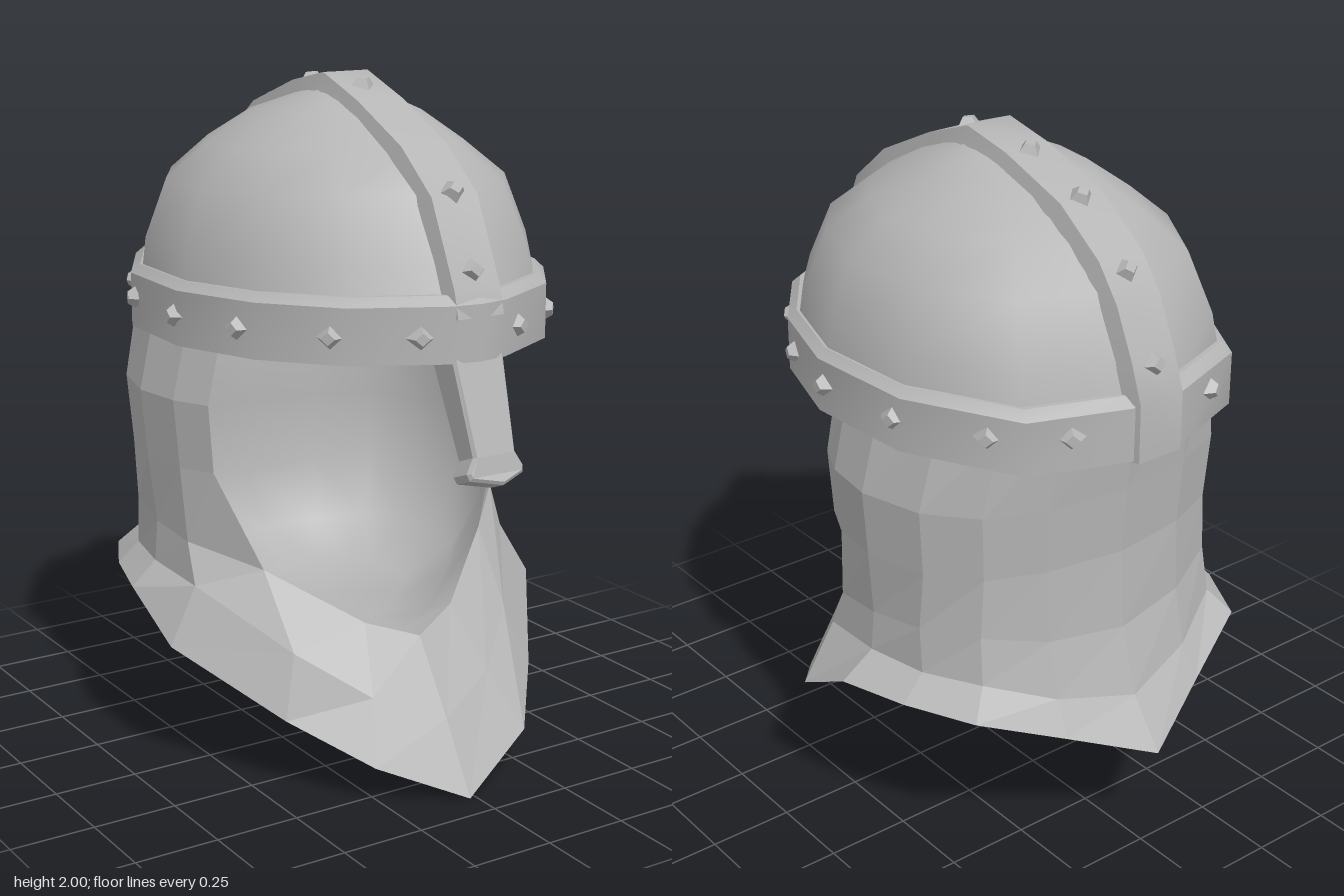
import * as THREE from 'three';
import { mergeGeometries, mergeVertices } from 'three/addons/utils/BufferGeometryUtils.js';

const steel = new THREE.MeshStandardMaterial({ color: 0xb5b5b5, side: THREE.DoubleSide });
steel.name = 'steel grey';

// Half cross-sections run from front to back on the +x side; these mirror them.
const flip = ([x, y, z]) => [-x, y, z];
const closedRing = (half) => [...half, ...half.slice(1, -1).reverse().map(flip)];
const openRing = (half) => [...half, ...half.slice(0, -1).reverse().map(flip)];

// Skins a list of equally long point rows, faceted or smooth.
function loft(rows, closed, smooth) {
  const n = rows[0].length, index = [];
  for (let r = 0; r < rows.length - 1; r++) {
    for (let c = 0; c < (closed ? n : n - 1); c++) {
      const a = r * n + c, b = r * n + (c + 1) % n;
      index.push(a, b, b + n, a, b + n, a + n);
    }
  }
  let g = new THREE.BufferGeometry();
  g.setAttribute('position', new THREE.Float32BufferAttribute(rows.flat(2), 3));
  g.setIndex(index);
  g = smooth ? mergeVertices(g) : g.toNonIndexed();
  g.computeVertexNormals();
  return g;
}

// Smooth along each strip, sharp between neighbouring strips.
const strips = (rows, closed) =>
  mergeGeometries(rows.slice(1).map((row, i) => loft([rows[i], row], closed, true)));

function add(parent, name, geometry) {
  const m = new THREE.Mesh(geometry, steel);
  m.name = name;
  parent.add(m);
  return m;
}

// Plan of the helmet at the brow, [x, z]
const brow = [[0, 0.68], [0.09, 0.665], [0.33, 0.53], [0.49, 0.31], [0.575, 0.03],
  [0.545, -0.31], [0.37, -0.625], [0.09, -0.725], [0, -0.73]];
const browRing = (sx, sz, y, shift) =>
  closedRing(brow.map(([x, z]) => [x * sx, y + 0.018 * z * sz, z * sz + shift]));

// Centre line of the crest from front to back, [z, y]
const crestPath = [[0.675, 1.4], [0.658, 1.47], [0.545, 1.71], [0.4, 1.83], [0.18, 1.935], [0, 2],
  [-0.17, 1.965], [-0.4, 1.885], [-0.56, 1.77], [-0.635, 1.67], [-0.7, 1.53], [-0.74, 1.42], [-0.742, 1.25]];

// Collar edge, collar bend and lower lip of the face opening
const rim = [[0, 0, 0.66], [0.26, 0.115, 0.56], [0.43, 0.22, 0.35], [0.64, 0.39, 0.05], [0.65, 0.51, -0.17],
  [0.59, 0.515, -0.38], [0.49, 0.51, -0.58], [0.25, 0.415, -0.68], [0, 0.315, -0.787]];
const bend = [[0, 0.2, 0.54], [0.2, 0.28, 0.46], [0.37, 0.4, 0.31], [0.545, 0.56, 0.05], [0.56, 0.58, -0.17],
  [0.52, 0.58, -0.36], [0.43, 0.58, -0.52], [0.24, 0.51, -0.62], [0, 0.46, -0.68]];
const lip = [[0, 0.41, 0.4], [0.15, 0.46, 0.34], [0.38, 0.61, 0.16], [0.54, 0.68, 0], [0.55, 0.7, -0.17],
  [0.52, 0.72, -0.35], [0.42, 0.72, -0.5], [0.24, 0.68, -0.58], [0, 0.66, -0.62]];

// Neck guard plan beside and behind the opening, [x, z], and its levels [y, x scale, z scale]
const neckPlan = [[0.5, 0.09], [0.55, -0.02], [0.57, -0.18], [0.52, -0.37], [0.41, -0.5], [0.24, -0.57], [0, -0.605]];
const neckLevels = [[0.9, 1, 1], [1.1, 1.03, 1.02], [1.34, 0.93, 1.06]];

function buildNeckGuard() {
  const g = new THREE.Group();
  g.name = 'neckGuard';
  const edge = closedRing(rim).map(([x, y, z]) => [x + 0.02 * Math.abs(x), y, z]);
  const sides = [lip.slice(2), ...neckLevels.map(([y, sx, sz]) => neckPlan.map(([x, z]) => [x * sx, y, z * sz]))];

  add(g, 'collar', loft([edge, closedRing(bend), closedRing(lip)], true, false));
  add(g, 'neckWall', loft(sides.map(openRing), false, false));
  add(g, 'underside', loft([edge.map(() => [0, 0.23, -0.12]), edge], true, false));

  // Smooth lining: a wall behind the face opening that rounds into a bowl, [scale, height share]
  const inset = (keep) => ([x, y, z], i) => (i < keep ? [x, y, z] : [x * 0.96, y, z * 0.96]);
  const wall = loft(sides.map((row) => openRing(row.map(inset(1)))), false, true);
  const bowl = [[0, 0], [0.5, 0.1], [0.8, 0.4], [1, 1]].map(([s, h]) => closedRing(lip.map(inset(3))
    .map(([x, y, z]) => [x * s, 0.38 + (y - 0.38) * h, -0.12 + (z + 0.12) * s])));
  const parts = [wall, loft(bowl, true, true)];
  parts.forEach((p) => p.deleteAttribute('normal'));
  const lining = mergeVertices(mergeGeometries(parts));
  lining.computeVertexNormals();
  add(g, 'lining', lining);
  return g;
}

// Raised strip with chamfered sides
function buildCrest() {
  const section = [[0.09, -0.05], [0.075, 0], [-0.075, 0], [-0.09, -0.05]];
  const rows = section.map(([x, d]) => crestPath.map(([z, y], i) => {
    const a = crestPath[Math.max(i - 1, 0)], b = crestPath[Math.min(i + 1, crestPath.length - 1)];
    const t = new THREE.Vector2(b[0] - a[0], b[1] - a[1]).normalize();
    return [x, y - t.x * d, z + t.y * d];
  }));
  return strips(rows, false);
}

function buildNasal() {
  const half = [[0.082, 0], [0.066, -0.295], [0.09, -0.335], [0.085, -0.352]];
  const outline = [...half, [0, -0.377], ...half.slice().reverse().map(([x, y]) => [-x, y])];
  const shape = new THREE.Shape(outline.map(([x, y]) => new THREE.Vector2(x, y)));
  const geometry = new THREE.ExtrudeGeometry(shape, {
    depth: 0.06, bevelThickness: 0.008, bevelSize: 0.008, bevelOffset: -0.005, bevelSegments: 1,
  });
  // Thicker towards the brow, swept back at the sides of the tip
  const p = geometry.attributes.position;
  for (let i = 0; i < p.count; i++) {
    const down = THREE.MathUtils.clamp(-p.getY(i) / 0.377, 0, 1);
    const back = p.getZ(i) < 0.03 ? 0.03 * (1 - down) : 0;
    p.setZ(i, p.getZ(i) - back - 0.3 * Math.abs(p.getX(i)) * down);
  }
  geometry.computeVertexNormals();
  geometry.rotateX(-0.365);
  geometry.translate(0, 1.295, 0.595);
  return geometry;
}

function buildRivets() {
  const g = new THREE.Group();
  g.name = 'rivets';
  const stud = new THREE.CylinderGeometry(0.018, 0.036, 0.028, 4).toNonIndexed();
  stud.computeVertexNormals();
  stud.rotateX(Math.PI / 2);
  stud.scale(1.15, 1, 1);
  const place = (name, pos, normal) => {
    const m = add(g, name, stud);
    m.position.set(...pos).addScaledVector(normal.normalize(), 0.008);
    m.lookAt(m.position.clone().add(normal));
  };
  // Around the brow band, both sides
  for (const [x, z] of [[0.16, 0.626], [0.36, 0.489], [0.51, 0.25], [0.575, 0.01], [0.548, -0.28], [0.422, -0.53], [0.25, -0.668]]) {
    for (const s of [1, -1]) {
      place('bandRivet', [x * s, 1.352, z], new THREE.Vector3(x * s / 0.33, 0, z / 0.49));
    }
  }
  // Along the crest
  for (const [z, y] of [[0.635, 1.52], [0.537, 1.72], [0.09, 1.967], [-0.18, 1.962], [-0.395, 1.887], [-0.586, 1.737], [-0.708, 1.51]]) {
    place('crestRivet', [0, y, z], new THREE.Vector3(0, (y - 1.4) / 0.36, (z + 0.03) / 0.49));
  }
  return g;
}

export function createModel() {
  const model = new THREE.Group();
  model.name = 'helmet';
  const body = new THREE.Group();
  body.name = 'helmetBody';
  body.position.x = -0.02;
  model.add(body);

  // Domed skull: brow outline shrinking towards the crown, [x scale, z scale, y, z shift]
  const skull = [[0.95, 0.945, 1.42, 0], [0.93, 0.89, 1.53, -0.01], [0.83, 0.77, 1.7, -0.016],
    [0.62, 0.6, 1.8, -0.03], [0.42, 0.385, 1.885, -0.035], [0.2, 0.17, 1.94, -0.02], [0, 0, 1.97, 0]];
  add(body, 'skullDome', loft(skull.map((row) => browRing(...row)), true, true));

  // Brow band with a bevelled upper edge and a thick lower edge, [scale, y]
  const band = [[0.93, 1.285], [1, 1.268], [1, 1.425], [0.955, 1.45], [0.92, 1.45]];
  add(body, 'browBand', strips(band.map(([s, y]) => browRing(s, s, y, 0)), true));

  add(body, 'crest', buildCrest());
  add(body, 'nasalGuard', buildNasal());
  body.add(buildNeckGuard(), buildRivets());
  return model;
}
